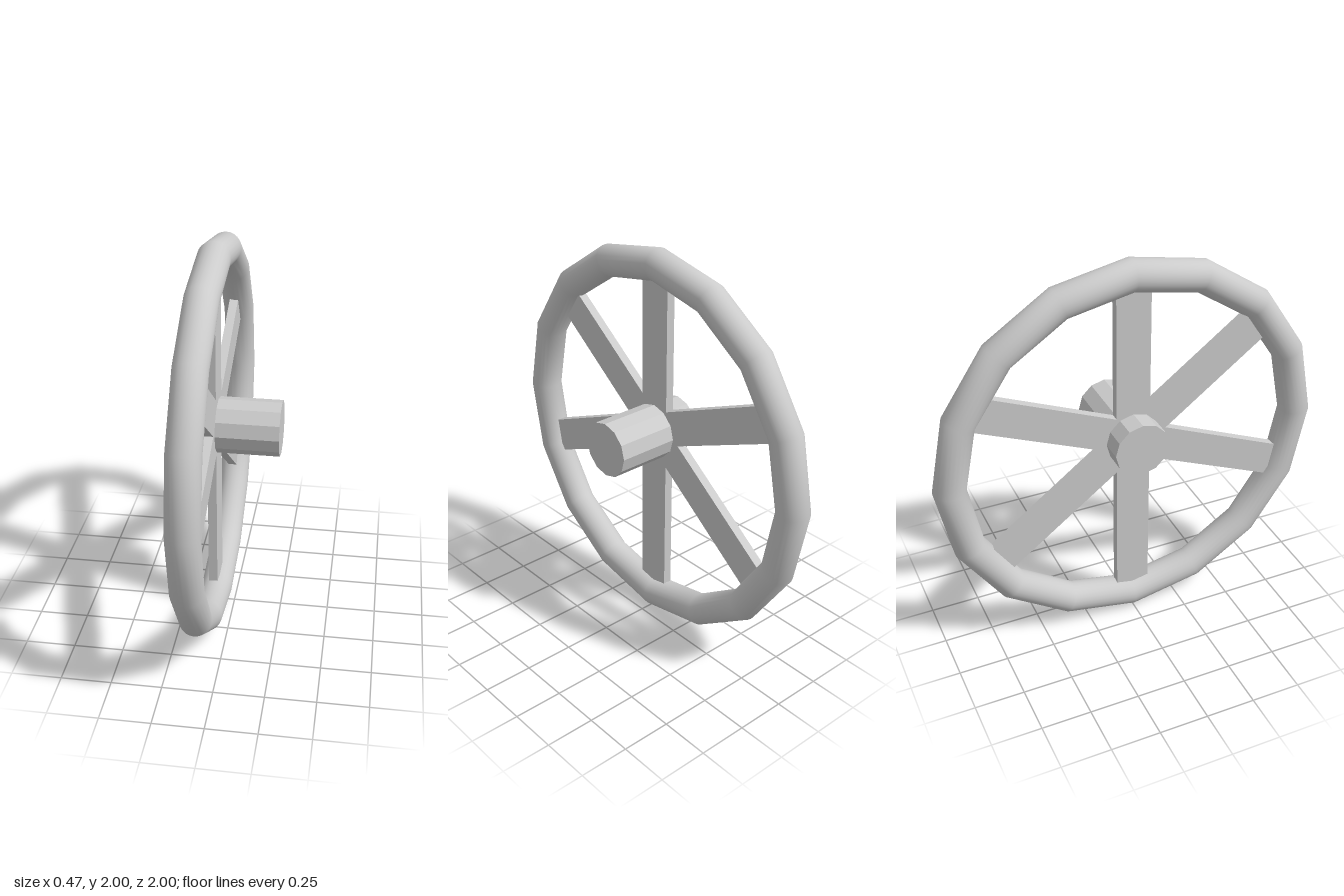
import * as THREE from 'three';

const HUB_Y = 1.06;
const WHEEL_X = -0.095;

export function createModel() {
  const group = new THREE.Group();
  const smooth = new THREE.MeshStandardMaterial({ color: 0xcccccc });
  const flat = new THREE.MeshStandardMaterial({ color: 0xcccccc, flatShading: true });

  const add = (name, geometry, material, x, y) => {
    const mesh = new THREE.Mesh(geometry, material);
    mesh.name = name;
    mesh.position.set(x, y, 0);
    group.add(mesh);
    return mesh;
  };

  // Rim: a round tube bent into sixteen segments
  const rim = new THREE.TorusGeometry(0.92, 0.08, 24, 16).rotateY(Math.PI / 2);
  add('rim', rim, smooth, WHEEL_X, 1);

  // Hub: twelve-sided axle sticking out on both sides of the wheel
  const hub = new THREE.CylinderGeometry(0.14, 0.14, 0.47, 12).rotateZ(Math.PI / 2);
  add('hub', hub, flat, 0, HUB_Y);

  // Spokes: three flat bars crossing at the hub, their ends buried in the rim
  [0, 53.1, -66.8].forEach((degrees, i) => {
    const angle = THREE.MathUtils.degToRad(degrees);
    // The hub sits above the rim's centre, so each bar slides to reach both sides
    const slide = (1 - HUB_Y) * Math.cos(angle);
    const bar = new THREE.BoxGeometry(0.045, 1.8, 0.175).translate(0, slide, 0);
    add(`spokeBar${i + 1}`, bar, flat, WHEEL_X - 0.006, HUB_Y).rotation.x = angle;
  });

  return group;
}
